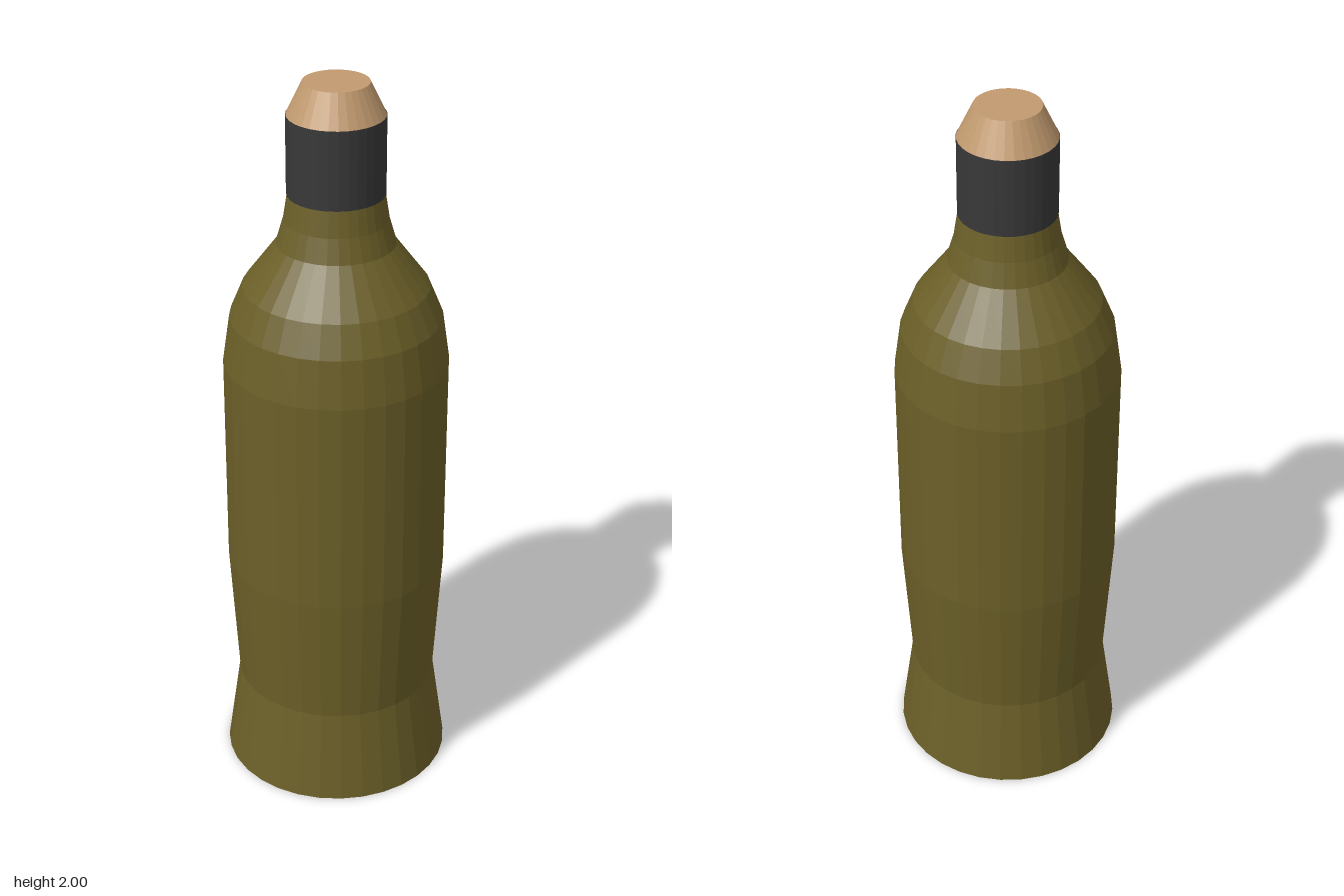
import * as THREE from 'three';

// Revolves a bottom-to-top [radius, height] profile around the y axis.
function turned(name, color, profile, sides) {
  const points = profile.map(([r, y]) => new THREE.Vector2(r, y));
  const mesh = new THREE.Mesh(
    new THREE.LatheGeometry(points, sides),
    new THREE.MeshStandardMaterial({ color, flatShading: true })
  );
  mesh.name = name;
  return mesh;
}

export function createModel() {
  const group = new THREE.Group();
  group.name = 'bottle';

  // Glass: flared foot, slight waist, straight body, rounded shoulder, neck
  group.add(turned('glassBody', 0x6b5f28, [
    [0, 0], [0.314, 0], [0.277, 0.26], [0.3, 0.635], [0.3, 1.235],
    [0.281, 1.365], [0.246, 1.45], [0.156, 1.57], [0.137, 1.635],
    [0.126, 1.705], [0, 1.705],
  ], 32));

  // Dark sleeve around the neck
  group.add(turned('neckBand', 0x383838, [
    [0, 1.705], [0.128, 1.705], [0.128, 1.915], [0, 1.915],
  ], 32));

  // Tapered cork
  group.add(turned('cork', 0xc19a6f, [
    [0, 1.915], [0.127, 1.915], [0.086, 2], [0, 2],
  ], 32));

  return group;
}
